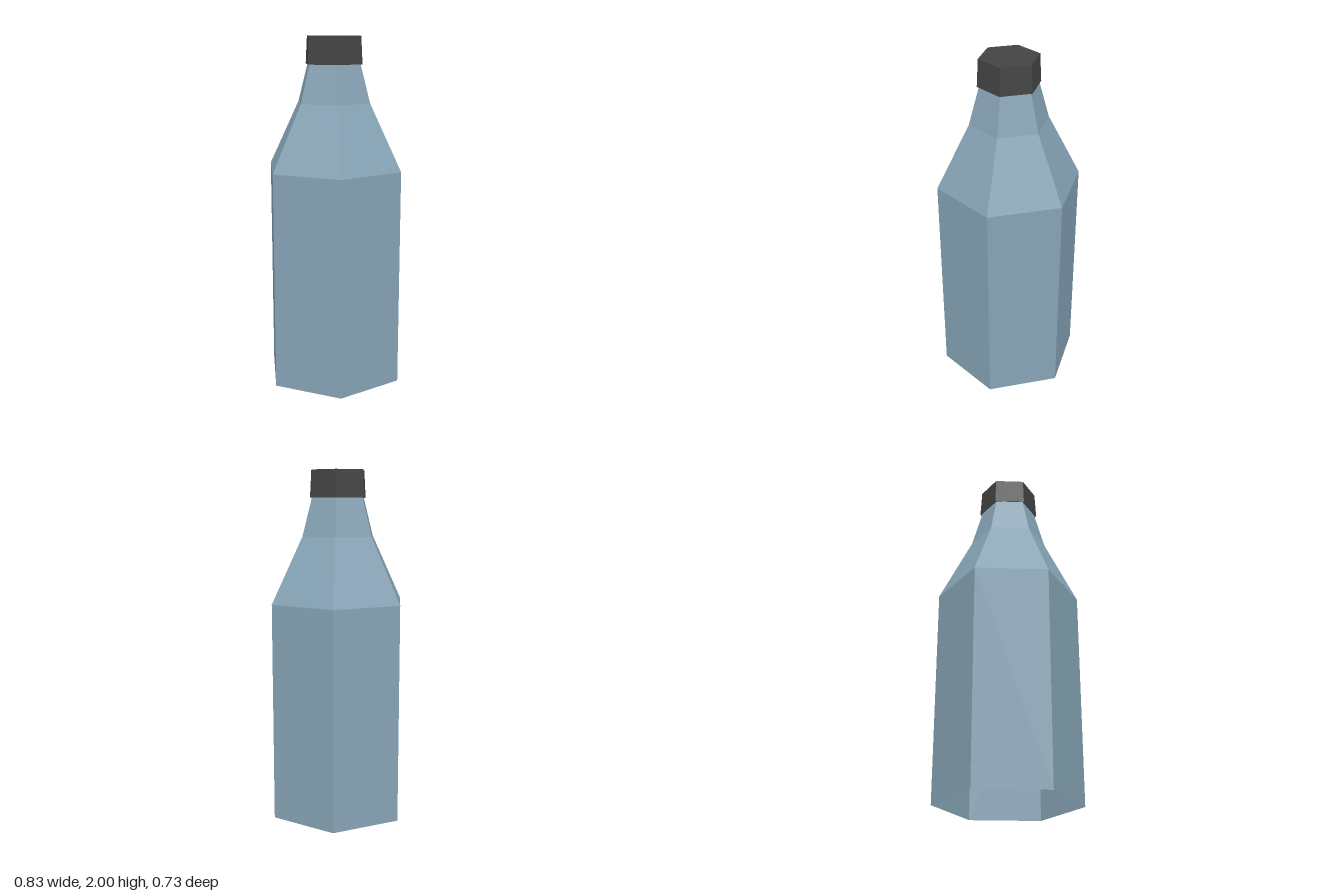
import * as THREE from 'three';

const SIDES = 6;
const TURN = THREE.MathUtils.degToRad(28.2); // slight twist of the hexagon

// Faceted shell turned from a [radius, height] profile, bottom to top
function hexShell(name, profile, material) {
  const points = profile.map(([r, y]) => new THREE.Vector2(r, y));
  const mesh = new THREE.Mesh(new THREE.LatheGeometry(points, SIDES, TURN), material);
  mesh.name = name;
  return mesh;
}

function flatMaterial(name, color) {
  const material = new THREE.MeshStandardMaterial({ color, flatShading: true, side: THREE.DoubleSide });
  material.name = name;
  return material;
}

export function createModel() {
  const group = new THREE.Group();
  group.name = 'bottle';

  const glass = flatMaterial('blueGrey', 0x87a4b6);
  const dark = flatMaterial('darkGrey', 0x444444);

  // Body, shoulder and neck, open at the base
  group.add(hexShell('bottleBody', [[0.414, 0], [0.414, 1.255], [0.224, 1.63], [0.163, 1.85]], glass));

  // Cap, slightly tapered, closed on top
  group.add(hexShell('cap', [[0.176, 1.845], [0.167, 2]], dark));
  const top = new THREE.Mesh(new THREE.CircleGeometry(0.167, SIDES, TURN - Math.PI / 2), dark);
  top.rotation.x = -Math.PI / 2;
  top.position.y = 2;
  top.name = 'capTop';
  group.add(top);

  return group;
}
